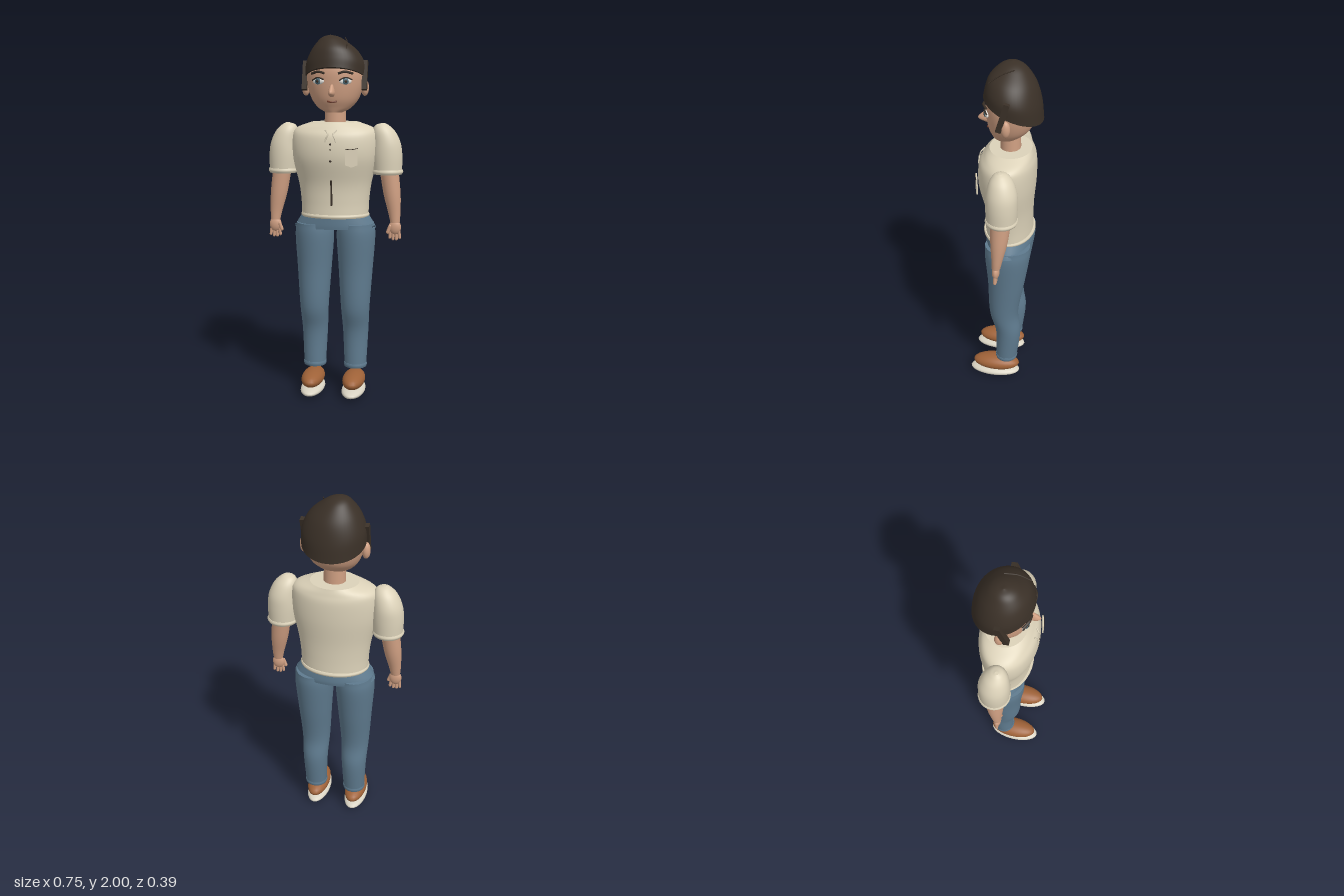
import * as THREE from 'three';

const mat = (name, color) => {
  const m = new THREE.MeshStandardMaterial({ color });
  m.name = name;
  return m;
};

export function createModel() {
  const root = new THREE.Group();
  root.name = 'standingPerson';
  const skin = mat('skin', 0xcf9f82), hair = mat('dark hair', 0x3a3027), shirt = mat('cream shirt', 0xdcd2b9);
  const denim = mat('blue denim', 0x5f7b8f), seam = mat('dark denim', 0x3c5163), leather = mat('brown leather', 0x9f6238);
  const sole = mat('pale sole', 0xd9d3c3), white = mat('eye white', 0xe8e6e0), iris = mat('grey blue iris', 0x4d6b78);
  const lip = mat('lip brown', 0x75402f);

  const add = (name, geometry, material, parent = root) => {
    const mesh = new THREE.Mesh(geometry, material);
    mesh.name = name;
    parent.add(mesh);
    return mesh;
  };

  // Smooth capped loft through elliptical rings [y, cx, cz, rx, rz], listed upwards
  const loft = (rings, side = 1, steps = 5, n = 32) => {
    const mid = new THREE.CatmullRomCurve3(rings.map(r => new THREE.Vector3(r[1] * side, r[0], r[2])), false, 'catmullrom');
    const rad = new THREE.CatmullRomCurve3(rings.map(r => new THREE.Vector3(r[3], r[0], r[4])), false, 'catmullrom');
    const count = (rings.length - 1) * steps, pos = [], idx = [];
    const ring = t => {
      const c = mid.getPoint(t), r = rad.getPoint(t);
      for (let j = 0; j < n; j++) {
        const a = (j / n) * Math.PI * 2;
        pos.push(c.x + r.x * Math.cos(a), c.y, c.z + r.z * Math.sin(a));
      }
      return c;
    };
    for (let i = 0; i <= count; i++) ring(i / count);
    for (let i = 0; i < count; i++) {
      for (let j = 0; j < n; j++) {
        const a = i * n + j, b = i * n + (j + 1) % n;
        idx.push(a, a + n, b, b, a + n, b + n);
      }
    }
    for (const t of [0, 1]) {
      const start = pos.length / 3, c = ring(t), centre = pos.length / 3;
      pos.push(c.x, c.y, c.z);
      for (let j = 0; j < n; j++) {
        const a = start + j, b = start + (j + 1) % n;
        if (t === 0) idx.push(centre, a, b); else idx.push(centre, b, a);
      }
    }
    const g = new THREE.BufferGeometry();
    g.setAttribute('position', new THREE.Float32BufferAttribute(pos, 3));
    g.setIndex(idx);
    g.computeVertexNormals();
    return g;
  };

  const ball = (name, material, p, s, parent = root) => {
    const m = add(name, new THREE.SphereGeometry(1, 24, 16), material, parent);
    m.position.set(...p);
    m.scale.set(...s);
    return m;
  };
  const tube = (name, material, pts, r, parent = root) => add(name, new THREE.TubeGeometry(
    new THREE.CatmullRomCurve3(pts.map(p => new THREE.Vector3(...p))), 14, r, 6), material, parent);

  // Shirt body, hem and front details
  add('shirtBody', loft([
    [1.02, 0, -.022, .187, .13], [1.1, 0, -.022, .19, .128], [1.2, 0, -.02, .203, .132], [1.34, 0, -.01, .235, .153],
    [1.45, 0, -.012, .238, .15], [1.5, 0, -.02, .215, .13], [1.533, 0, -.027, .13, .112]], 1, 6, 48), shirt);
  add('shirtHem', loft([[1.012, 0, -.022, .188, .138], [1.022, 0, -.022, .192, .142], [1.032, 0, -.022, .188, .138]], 1, 3, 48), shirt);
  for (const y of [1.42, 1.33, 1.39]) ball('shirtButton', hair, [0, y, .141], [.006, y === 1.39 ? .012 : .007, .004]);
  tube('shirtPlacket', hair, [[0, 1.225, .117], [0, 1.155, .108], [0, 1.085, .107]], .005);
  const pocket = new THREE.Group();
  pocket.name = 'chestPocket';
  pocket.position.set(.112, 1.35, .134);
  pocket.rotation.y = .25;
  root.add(pocket);
  const outline = new THREE.Shape([[-.033, .05], [-.033, -.04], [0, -.052], [.033, -.04], [.033, .05]].map(p => new THREE.Vector2(...p)));
  add('pocketPanel', new THREE.ExtrudeGeometry(outline, { depth: .008, bevelEnabled: false }), shirt, pocket);
  tube('pocketEdge', hair, [[-.034, .046, .008], [0, .044, .008], [.034, .05, .008]], .002, pocket);

  // Hips and neck
  add('trouserHips', loft([[.95, 0, -.025, .228, .128], [.975, 0, -.025, .216, .13], [1.025, 0, -.022, .186, .127]], 1, 4, 48), denim);
  add('neck', loft([[1.51, 0, -.025, .06, .055], [1.63, 0, -.025, .056, .052]]), skin);

  // Head and nose
  add('head', loft([
    [1.585, 0, .01, .045, .05], [1.61, 0, -.005, .09, .075], [1.66, 0, -.022, .13, .112], [1.74, 0, -.03, .155, .13],
    [1.82, 0, -.037, .156, .135], [1.9, 0, -.037, .11, .1], [1.95, 0, -.037, .04, .04]], 1, 6, 40), skin);
  add('nose', loft([[1.668, 0, .092, .009, .012], [1.69, 0, .1, .018, .045], [1.735, 0, .092, .008, .012]]), skin);
  tube('mouth', lip, [[-.026, 1.646, .084], [0, 1.641, .094], [.026, 1.646, .084]], .0045);

  // Domed hair with a rim slanting down to the back
  const cap = loft([
    [1.765, 0, -.04, .167, .154], [1.84, 0, -.04, .163, .143], [1.91, -.005, -.036, .13, .12],
    [1.965, -.018, -.032, .078, .078], [1.99, -.025, -.03, .042, .042], [2, -.028, -.03, .004, .004]], 1, 6, 48);
  const cp = cap.attributes.position;
  for (let i = 0; i < cp.count; i++) {
    const y = cp.getY(i);
    cp.setY(i, y + .394 * (cp.getZ(i) + .04) * (2 - y) / .235);
  }
  cap.computeVertexNormals();
  add('hairCap', cap, hair);
  tube('hairStrand', hair, [[.05, 1.985, -.05], [.068, 1.965, .01], [.076, 1.92, .075]], .003);

  for (const s of [1, -1]) {
    const side = s === 1 ? 'left' : 'right';

    // Ear, sideburn, eye and brow
    ball(side + 'Ear', skin, [s * .163, 1.718, -.022], [.022, .045, .024]);
    const burn = add(side + 'Sideburn', new THREE.BoxGeometry(.028, .16, .03), hair);
    burn.position.set(s * .164, 1.783, -.008);
    burn.rotation.x = -.28;
    burn.rotation.x *= -1;
    burn.rotation.x = -burn.rotation.x;
    const eye = new THREE.Group();
    eye.name = side + 'Eye';
    eye.position.set(s * .073, 1.752, .088);
    eye.rotation.y = s * .35;
    root.add(eye);
    ball('eyeWhite', white, [0, 0, 0], [.034, .017, .01], eye);
    ball('iris', iris, [0, 0, .007], [.017, .017, .006], eye);
    ball('pupil', hair, [0, 0, .011], [.008, .009, .004], eye);
    tube('upperLid', hair, [[-.036, .004, .004], [0, .02, .009], [.036, .008, .004]], .004, eye);
    tube(side + 'Eyebrow', hair, [[s * .036, 1.793, .105], [s * .072, 1.802, .101], [s * .112, 1.792, .079]], .007);

    // Collar point
    tube(side + 'CollarPoint', shirt, [[s * .03, 1.495, .118], [s * .014, 1.472, .138], [s * .024, 1.45, .14], [s * .03, 1.43, .141]], .004);

    // Puffed sleeve, cuff and bare arm
    add(side + 'Sleeve', loft([
      [1.26, .29, -.022, .08, .08], [1.35, .287, -.022, .084, .083], [1.42, .283, -.022, .078, .079],
      [1.48, .27, -.018, .063, .062], [1.515, .26, -.014, .038, .036], [1.528, .265, -.012, .01, .01]], s), shirt);
    add(side + 'SleeveCuff', loft([[1.25, .291, -.022, .079, .08], [1.263, .291, -.022, .086, .086], [1.276, .291, -.022, .081, .082]], s, 3), shirt);
    add(side + 'Arm', loft([
      [.985, .337, 0, .026, .023], [1.04, .332, -.005, .034, .03], [1.14, .318, -.013, .047, .045], [1.27, .3, -.02, .052, .054]], s), skin);

    // Hand with fingers and thumb
    ball(side + 'Palm', skin, [s * .337, .958, .002], [.034, .042, .02]);
    for (let i = 0; i < 4; i++) {
      const finger = add(side + 'Finger', new THREE.CapsuleGeometry(.0085, .042, 4, 10), skin);
      finger.position.set(s * (.312 + i * .0165), .914 + (i === 0 || i === 3 ? .008 : 0), .003);
      finger.rotation.z = s * (i - 1.5) * .08;
    }
    const thumb = add(side + 'Thumb', new THREE.CapsuleGeometry(.01, .035, 4, 10), skin);
    thumb.position.set(s * .305, .948, .012);
    thumb.rotation.z = -s * .35;

    // Trouser leg, turned-up hem and pocket seam
    add(side + 'TrouserLeg', loft([
      [.15, .117, -.022, .062, .061], [.35, .117, -.032, .072, .072], [.5, .117, -.007, .081, .082],
      [.72, .117, -.02, .096, .103], [.9, .117, -.026, .108, .124], [.975, .117, -.027, .1, .124]], s, 6), denim);
    add(side + 'TrouserHem', loft([[.144, .117, -.022, .063, .062], [.156, .117, -.022, .066, .065], [.168, .117, -.022, .064, .063]], s, 3), denim);
    tube(side + 'PocketSeam', seam, [[s * .13, .957, .082], [s * .18, .956, .054], [s * .226, .96, -.012]], .005);

    // Shoe
    ball(side + 'ShoeSole', sole, [s * .117, .029, .048], [.066, .029, .148]);
    ball(side + 'ShoeUpper', leather, [s * .117, .085, .04], [.063, .046, .138]);
  }
  return root;
}
